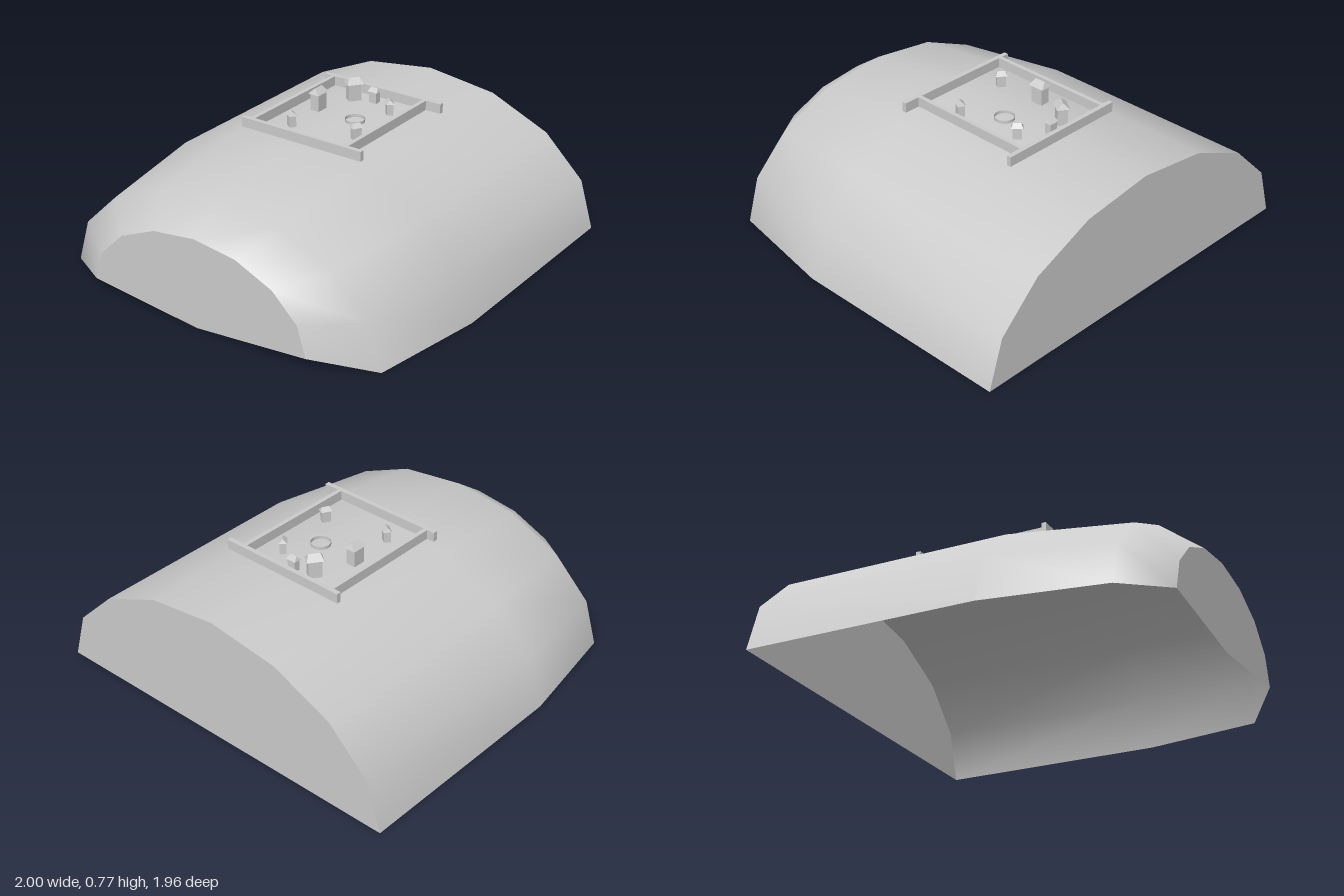
import * as THREE from 'three';

const grey = new THREE.MeshStandardMaterial({ color: 0xcccccc, side: THREE.DoubleSide });
const flat = new THREE.MeshStandardMaterial({ color: 0xcccccc, side: THREE.DoubleSide, flatShading: true });

const SEGS = 8;

// Half-ellipse cross-section, running from +x over the top to -x
function arch({ z, w, h, base }) {
  return Array.from({ length: SEGS + 1 }, (_, i) => {
    const a = (i / SEGS) * Math.PI;
    return [w * Math.cos(a), base + h * Math.sin(a), z];
  });
}

function meshFrom(points, index, material, name) {
  const geo = new THREE.BufferGeometry();
  geo.setAttribute('position', new THREE.Float32BufferAttribute(points.flat(), 3));
  geo.setIndex(index);
  geo.computeVertexNormals();
  const mesh = new THREE.Mesh(geo, material);
  mesh.name = name;
  return mesh;
}

// Smooth shell lofted through the cross-sections, open underneath
function loft(sections, name) {
  const index = [];
  const n = SEGS + 1;
  for (let s = 0; s < sections.length - 1; s++) {
    for (let i = 0; i < SEGS; i++) {
      const a = s * n + i, b = a + n;
      index.push(a, b + 1, b, a, a + 1, b + 1);
    }
  }
  // Order the corners so that the outside is the front
  for (let k = 0; k < index.length; k += 3) [index[k + 1], index[k + 2]] = [index[k + 2], index[k + 1]];
  return meshFrom(sections.flatMap(arch), index, grey, name);
}

// Flat end wall: a fan about the middle of its foot
function endWall(section, facing, name) {
  const points = [...arch(section), [0, 0, section.z]];
  const index = [];
  for (let i = 0; i < SEGS; i++) {
    index.push(SEGS + 1, facing > 0 ? i : i + 1, facing > 0 ? i + 1 : i);
  }
  return meshFrom(points, index, flat, name);
}

function box(w, h, d, x, y, z, name) {
  const mesh = new THREE.Mesh(new THREE.BoxGeometry(w, h, d), grey);
  mesh.position.set(x, y, z);
  mesh.name = name;
  return mesh;
}

// Hut with a hipped roof, ridge along z
function hut(x, z, angle, scale) {
  const g = new THREE.Group();
  g.name = 'hut';
  g.add(box(0.05, 0.09, 0.066, 0, 0.045, 0, 'hutWalls'));
  const roof = new THREE.BoxGeometry(0.064, 0.03, 0.086);
  const p = roof.attributes.position;
  for (let i = 0; i < p.count; i++) {
    if (p.getY(i) > 0) {
      p.setX(i, 0);
      p.setZ(i, p.getZ(i) * 0.65);
    }
  }
  const roofMesh = new THREE.Mesh(roof, flat);
  roofMesh.position.y = 0.104;
  roofMesh.name = 'hutRoof';
  g.add(roofMesh);
  g.position.set(x, 0.65, z);
  g.rotation.y = angle;
  g.scale.setScalar(scale);
  return g;
}

export function createModel() {
  const model = new THREE.Group();
  model.name = 'hillSettlement';

  // Hill
  const sections = [
    { z: -0.98, w: 1, h: 0.65, base: 0 },
    { z: 0.2, w: 1, h: 0.65, base: 0 },
    { z: 0.8, w: 0.9, h: 0.585, base: 0 },
    { z: 0.98, w: 0.62, h: 0.4, base: 0.06 },
  ];
  const hill = new THREE.Group();
  hill.name = 'hill';
  hill.add(
    loft(sections, 'hillShell'),
    endWall(sections[0], -1, 'hillBack'),
    endWall(sections[3], 1, 'hillFront'),
  );
  model.add(hill);

  // Enclosure walls: long ones front and back, shorter ones between
  const walls = new THREE.Group();
  walls.name = 'enclosure';
  for (const z of [-0.488, 0.204]) walls.add(box(0.7, 0.05, 0.024, 0.025, 0.68, z, 'crossWall'));
  for (const x of [-0.273, 0.28]) walls.add(box(0.022, 0.05, 0.668, x, 0.68, -0.142, 'sideWall'));
  model.add(walls);

  // Huts: x, z, turn, scale
  const huts = [
    [-0.085, -0.39, -0.63, 1],
    [-0.157, -0.185, 0, 1],
    [0.02, -0.42, Math.PI / 2, 0.67],
    [0.165, -0.34, 0.75, 0.67],
    [0.2, 0, -0.5, 0.67],
    [-0.14, 0.06, 0.94, 0.67],
  ];
  for (const h of huts) model.add(hut(...h));

  // Ring in the middle of the yard
  const ring = new THREE.Mesh(new THREE.CylinderGeometry(0.05, 0.05, 0.016, 24, 1, true), grey);
  ring.position.set(0.075, 0.655, -0.172);
  ring.name = 'yardRing';
  model.add(ring);

  return model;
}
